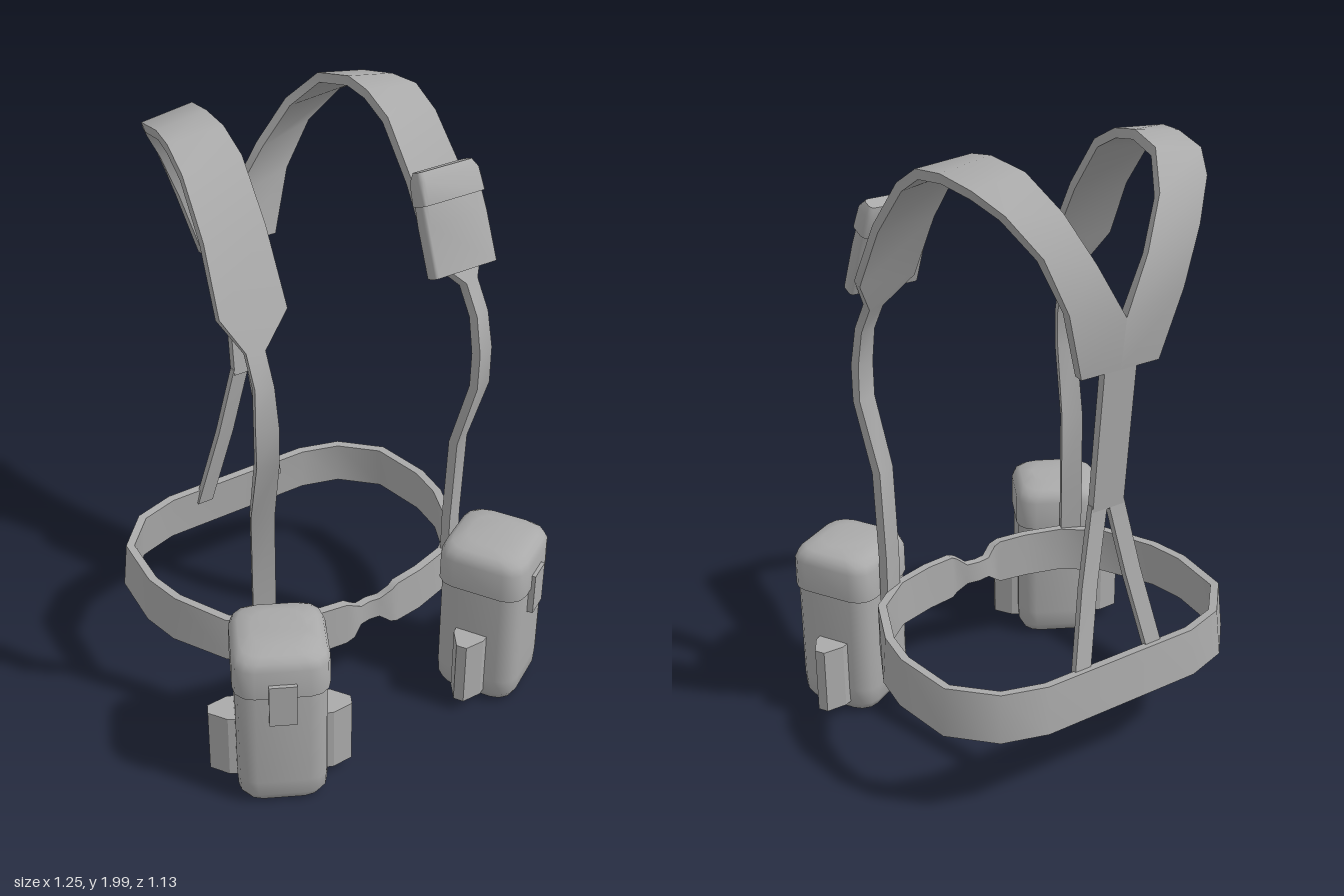
import * as THREE from 'three';
import { toCreasedNormals } from 'three/addons/utils/BufferGeometryUtils.js';

const V = (x, y, z) => new THREE.Vector3(x, y, z);

// Skin a list of equal-length rings; open lofts are capped, faces always point outward.
function loft(rings, closed = false, crease = 0.9) {
  const tris = [], n = rings[0].length, m = rings.length;
  for (let i = 0; i < (closed ? m : m - 1); i++) {
    const a = rings[i], b = rings[(i + 1) % m];
    for (let j = 0; j < n; j++) {
      const k = (j + 1) % n;
      tris.push([a[j], a[k], b[k]], [a[j], b[k], b[j]]);
    }
  }
  if (!closed) {
    const a = rings[0], b = rings[m - 1];
    for (let j = 1; j < n - 1; j++) tris.push([a[0], a[j + 1], a[j]], [b[0], b[j], b[j + 1]]);
  }
  let volume = 0;
  for (const [a, b, c] of tris) volume += a.dot(b.clone().cross(c));
  const pos = [];
  for (const [a, b, c] of tris) {
    for (const p of volume < 0 ? [a, c, b] : [a, b, c]) pos.push(p.x, p.y, p.z);
  }
  const g = new THREE.BufferGeometry();
  g.setAttribute('position', new THREE.Float32BufferAttribute(pos, 3));
  return toCreasedNormals(g, crease);
}

// Flat webbing: every station is a pair of edge points.
function ribbon(stations, thickness, closed = false) {
  const mids = stations.map(([a, b]) => a.clone().add(b).multiplyScalar(0.5));
  const m = mids.length;
  const rings = stations.map(([a, b], i) => {
    const next = closed ? mids[(i + 1) % m] : mids[Math.min(i + 1, m - 1)];
    const prev = closed ? mids[(i + m - 1) % m] : mids[Math.max(i - 1, 0)];
    const off = b.clone().sub(a).cross(next.clone().sub(prev)).setLength(thickness / 2);
    return [a.clone().add(off), b.clone().add(off), b.clone().sub(off), a.clone().sub(off)];
  });
  return loft(rings, closed);
}

// Horizontal rounded rectangle
function ring(w, d, r, y, z = 0) {
  const pts = [];
  for (let q = 0; q < 4; q++) {
    const sx = q === 0 || q === 3 ? 1 : -1, sz = q < 2 ? 1 : -1;
    for (let s = 0; s <= 3; s++) {
      const a = (q + s / 3) * Math.PI / 2;
      pts.push(V(sx * (w / 2 - r) + r * Math.cos(a), y, z + sz * (d / 2 - r) + r * Math.sin(a)));
    }
  }
  return pts;
}

export function createModel() {
  const model = new THREE.Group();
  model.name = 'harness';
  const grey = new THREE.MeshStandardMaterial({ color: 0xaaaaaa });
  grey.name = 'grey webbing';
  const add = (parent, name, geometry) => {
    const mesh = new THREE.Mesh(geometry, grey);
    mesh.name = name;
    parent.add(mesh);
    return mesh;
  };

  // Waist belt: x, z, half height, from the narrow front clasp round to the back
  const half = [
    [0, 0.262, 0.037], [0.04, 0.268, 0.037], [0.075, 0.282, 0.065], [0.1, 0.278, 0.078],
    [0.2, 0.265, 0.08], [0.33, 0.228, 0.08], [0.45, 0.13, 0.08], [0.54, -0.05, 0.08],
    [0.56, -0.18, 0.08], [0.535, -0.385, 0.08], [0.42, -0.508, 0.08], [0.28, -0.55, 0.08], [0, -0.55, 0.08],
  ];
  const loop = [...half, ...half.slice(1, -1).reverse().map(([x, z, h]) => [-x, z, h])];
  add(model, 'waistBelt', ribbon(loop.map(([x, z, h]) => {
    const lean = z < 0.1 ? 0.975 : 1;
    return [V(x * lean, 0.393 + h, z * lean), V(x, 0.393 - h, z)];
  }), 0.028, true));

  // Shoulder straps: outer edge then inner edge, from the belt over the shoulder to the back
  const shoulder = [
    [0.40, 0.40, 0.205, 0.335, 0.40, 0.235], [0.40, 0.60, 0.205, 0.335, 0.60, 0.235],
    [0.405, 0.9, 0.215, 0.34, 0.9, 0.245], [0.425, 1.13, 0.285, 0.36, 1.13, 0.305],
    [0.425, 1.25, 0.285, 0.36, 1.25, 0.308], [0.415, 1.37, 0.27, 0.36, 1.37, 0.285],
    [0.41, 1.46, 0.22, 0.355, 1.46, 0.235], [0.465, 1.56, 0.17, 0.26, 1.55, 0.20],
    [0.45, 1.75, 0.075, 0.255, 1.76, 0.085], [0.437, 1.9, -0.045, 0.25, 1.92, -0.035],
    [0.43, 1.955, -0.13, 0.247, 1.97, -0.13], [0.41, 1.96, -0.22, 0.245, 1.985, -0.22],
    [0.39, 1.94, -0.34, 0.22, 1.965, -0.34], [0.345, 1.89, -0.42, 0.165, 1.87, -0.43],
    [0.27, 1.78, -0.485, 0.09, 1.73, -0.48], [0.2, 1.62, -0.508, 0, 1.57, -0.505],
    [0.138, 1.41, -0.485, 0, 1.41, -0.485],
  ];
  for (const s of [1, -1]) {
    const side = s > 0 ? 'left' : 'right';
    add(model, side + 'ShoulderStrap', ribbon(shoulder.map(([a, b, c, d, e, f]) =>
      [V(s * a, b, c), V(s * d, e, f)]), 0.03));
    // Lower back legs of the Y
    add(model, side + 'BackLeg', ribbon([[0.03, 0.97, -0.447], [0.082, 0.72, -0.475], [0.145, 0.42, -0.53]]
      .map(([x, y, z]) => [V(s * (x - 0.029), y, z), V(s * (x + 0.029), y, z)]), 0.022));
  }
  // Centre back strap
  add(model, 'centreBackStrap', ribbon([[1.45, -0.49], [1.2, -0.468], [0.95, -0.447]]
    .map(([y, z]) => [V(-0.057, y, z), V(0.057, y, z)]), 0.026));

  // Hip pouches, turned outward
  const wing = [[0.13, 0.11], [0.165, 0.105], [0.225, 0.035]];
  for (const s of [1, -1]) {
    const pouch = new THREE.Group();
    pouch.name = (s > 0 ? 'left' : 'right') + 'Pouch';
    pouch.position.set(s * 0.422, 0, 0.387);
    pouch.rotation.y = s * 0.5;
    model.add(pouch);
    add(pouch, 'pouchBody', loft([[0.2, 0.005], [0.25, 0.015], [0.278, 0.045], [0.284, 0.1], [0.284, 0.46]]
      .map(([w, y]) => ring(w, w, 0.06, y))));
    add(pouch, 'pouchLid', loft([[0.3, 0.45], [0.298, 0.55], [0.28, 0.575], [0.245, 0.59], [0.17, 0.6]]
      .map(([w, y]) => ring(w, w, 0.065, y))));
    const clip = add(pouch, 'lidClip', new THREE.BoxGeometry(0.085, 0.15, 0.03));
    clip.position.set(0, 0.427, 0.147);
    // Tapered side holders
    for (const t of [1, -1]) {
      add(pouch, 'sideHolder', loft(wing.map(([x, w]) => [
        V(t * x, 0.05, -w / 2 - 0.01), V(t * x, 0.05, w / 2 - 0.01),
        V(t * x, 0.28, w / 2 - 0.01), V(t * x, 0.28, -w / 2 - 0.01)]), false, 0.4));
    }
  }

  // Small pocket on the left shoulder
  const pocket = new THREE.Group();
  pocket.name = 'shoulderPocket';
  pocket.position.set(0.343, 1.663, 0.185);
  pocket.rotation.x = -0.38;
  model.add(pocket);
  add(pocket, 'pocketBody', loft([ring(0.236, 0.05, 0.012, -0.157), ring(0.23, 0.058, 0.014, 0),
    ring(0.214, 0.055, 0.014, 0.13)]));
  add(pocket, 'pocketFlap', loft([ring(0.232, 0.072, 0.016, 0.06, 0.002), ring(0.222, 0.07, 0.016, 0.13, 0.002),
    ring(0.2, 0.045, 0.014, 0.158)]));
  return model;
}
